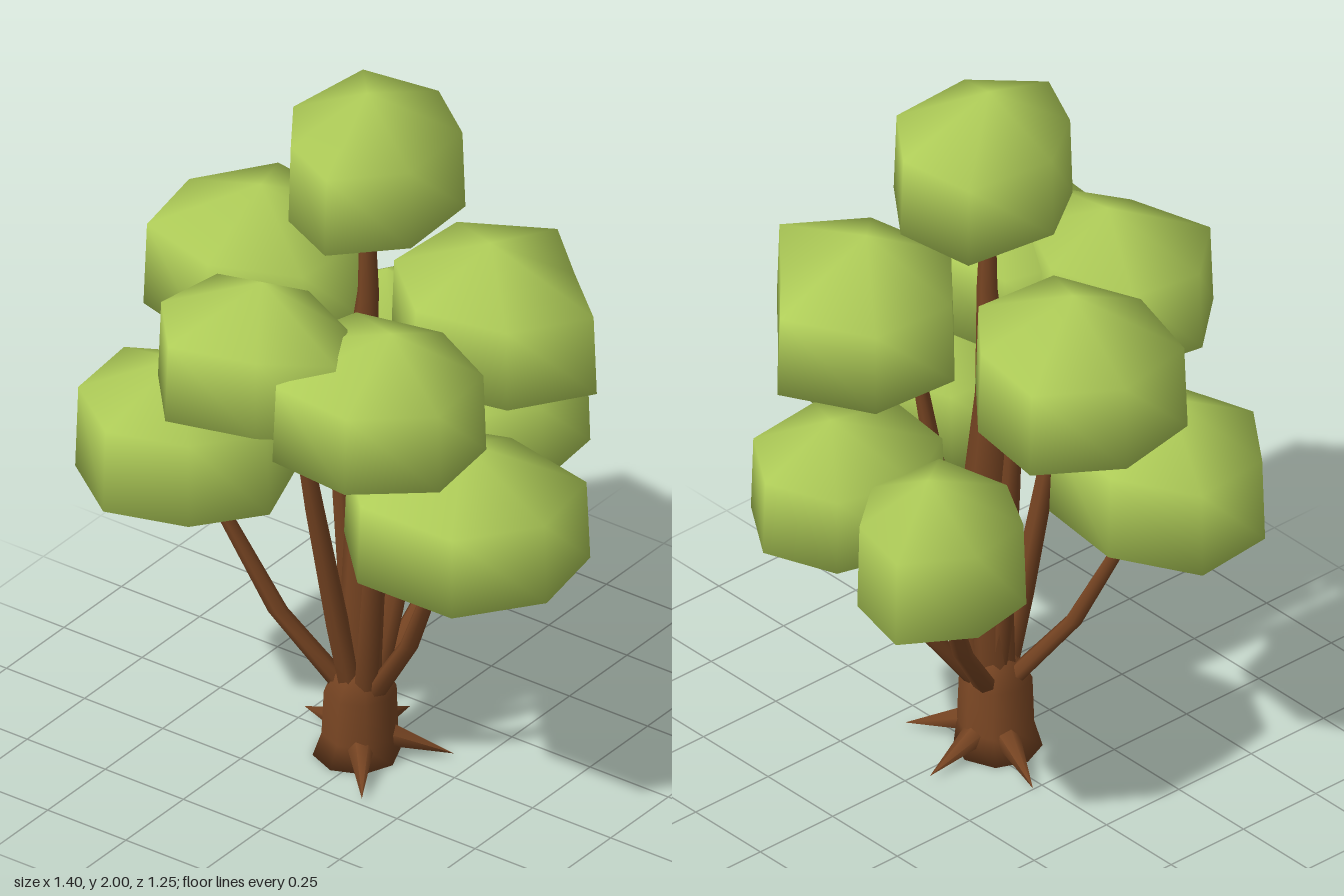
import * as THREE from 'three';

const bark = new THREE.MeshStandardMaterial({ color: 0x764422 });
bark.name = 'bark';
const leaf = new THREE.MeshStandardMaterial({ color: 0xb2d05a });
leaf.name = 'leaf';

// Smooth skin over stacked rings (bottom to top), closed by a pole at each end.
// Ring points run clockwise as seen from above.
function loft(name, bottom, rings, top, material) {
  const n = rings[0].length;
  const points = [bottom, ...rings.flat(), top];
  const last = points.length - 1;
  const index = [];
  for (let i = 0; i < n; i++) {
    const j = (i + 1) % n;
    index.push(0, 1 + i, 1 + j);
    for (let r = 0; r < rings.length - 1; r++) {
      const a = 1 + r * n, b = a + n;
      index.push(a + i, b + i, b + j, a + i, b + j, a + j);
    }
    const t = 1 + (rings.length - 1) * n;
    index.push(t + i, last, t + j);
  }
  const g = new THREE.BufferGeometry();
  g.setAttribute('position', new THREE.Float32BufferAttribute(points.flat(), 3));
  g.setIndex(index);
  g.computeVertexNormals();
  const mesh = new THREE.Mesh(g, material);
  mesh.name = name;
  return mesh;
}

// Corners [x, z] at even angles, one for each radius, starting at the given angle
function polygon(radii, degrees) {
  return radii.map((r, i) => {
    const a = THREE.MathUtils.degToRad(degrees) + (i / radii.length) * Math.PI * 2;
    return [Math.cos(a) * r, Math.sin(a) * r];
  });
}

// Upright limb through [x, y, z, radius] stations
function limb(name, stations, sides) {
  const rings = stations.map(([x, y, z, r]) =>
    polygon(Array(sides).fill(r), 0).map(([u, v]) => [x + u, y, z + v]));
  const s = stations[0], e = stations[stations.length - 1];
  return loft(name, s.slice(0, 3), rings, e.slice(0, 3), bark);
}

// Uneven seven-sided leaf clump whose widest ring touches the given x and z limits
function foliage({ name, x, y, z, pole: [px, pz], turn, radii }) {
  const corners = polygon(radii, turn);
  const fit = (axis, [lo, hi]) => {
    const values = corners.map((c) => c[axis]);
    const min = Math.min(...values), max = Math.max(...values);
    return values.map((v) => THREE.MathUtils.mapLinear(v, min, max, lo, hi));
  };
  const xs = fit(0, x), zs = fit(1, z);
  const ring = (f, s) => xs.map((cx, i) =>
    [px + (cx - px) * s, y[0] + (y[1] - y[0]) * f, pz + (zs[i] - pz) * s]);
  return loft(name + 'Foliage', [px, y[0], pz], [ring(0.2, 1), ring(0.73, 0.97)], [px, y[1], pz], leaf);
}

// Clump limits, pole [x, z], first corner angle, corner radii and reach of its branch
const crown = { name: 'crown', x: [-.23, .22], y: [1.58, 2], z: [-.235, .31], pole: [0, .04],
  turn: 22, radii: [1.07, 1.05, .85, 1, 1.24, 1.05, 1.09] };
const middle = [
  { name: 'middleRight', x: [-.66, -.1], y: [1.12, 1.57], z: [-.28, .25], pole: [-.37, 0],
    turn: 36, radii: [1.1, 1, 1.12, 1.02, 1.07, .88, 1], reach: .45 },
  { name: 'middleFront', x: [-.37, .2], y: [1.13, 1.55], z: [.17, .62], pole: [-.1, .36],
    turn: 12, radii: [1, .8, 1.12, 1.02, 1.1, 1, .88], reach: 1 },
  { name: 'middleFrontLeft', x: [-.06, .5], y: [1.07, 1.49], z: [.05, .56], pole: [.26, .29],
    turn: 20, radii: [1.08, 1.02, 1.05, 1.02, 1.1, 1, 1.07], reach: 1 },
  { name: 'middleBackLeft', x: [-.03, .57], y: [1.1, 1.53], z: [-.49, .07], pole: [.24, -.17],
    turn: 5, radii: [1, .98, 1.05, 1.05, 1.07, 1.02, .62], reach: .9 },
];
const lower = [
  { name: 'lowerLeft', x: [.07, .7], y: [.71, 1.14], z: [-.1, .42], pole: [.39, .15],
    turn: 10, radii: [1.01, 1.09, 1.05, 1, 1.1, 1, 1.15], reach: 1 },
  { name: 'lowerBack', x: [-.13, .34], y: [.72, 1.12], z: [-.62, -.1], pole: [.12, -.4],
    turn: 19, radii: [1.02, 1, 1, 1, 1.02, 1.01, 1.03], reach: 1 },
  { name: 'lowerBackRight', x: [-.5, -.06], y: [.68, 1.14], z: [-.625, -.15], pole: [-.28, -.42],
    turn: 41, radii: [1.2, 1, 1, 1, 1.14, .95, 1], reach: 1 },
  { name: 'lowerFrontRight', x: [-.7, -.13], y: [.71, 1.16], z: [.03, .53], pole: [-.43, .28],
    turn: 104, radii: [1.02, 1.03, 1.14, 1.03, 1.15, 1.02, .9], reach: 1 },
];

// Branch bends: height, share of the way out to the clump, radius
const middleBends = [[.2, .1, .034], [.42, .25, .032], [.8, .48, .026], [1.2, .7, .016]];
const lowerBends = [[.2, .1, .032], [.42, .46, .027], [.72, .77, .02], [.85, .9, .014]];

export function createModel() {
  const tree = new THREE.Group();
  tree.name = 'tree';

  // Stump and main stem
  tree.add(limb('stump', [
    [-.03, 0, .045, .115], [-.02, .07, .045, .1], [-.015, .2, .05, .095], [-.01, .27, .05, .055],
  ], 8));
  tree.add(limb('mainStem', [
    [-.01, .2, .05, .06], [-.01, .5, .04, .06], [0, .8, .03, .06],
    [-.03, 1.1, .03, .048], [0, 1.4, .035, .028], [0, 1.68, .04, .018],
  ], 7));

  // Foliage, with one bent branch to each clump around the stem
  tree.add(foliage(crown));
  for (const [clumps, bends] of [[middle, middleBends], [lower, lowerBends]]) {
    for (const clump of clumps) {
      const dx = (clump.pole[0] + .01) * clump.reach, dz = (clump.pole[1] - .045) * clump.reach;
      const path = bends.map(([y, f, r]) => [-.01 + dx * f, y, .045 + dz * f, r]);
      tree.add(foliage(clump), limb(clump.name + 'Branch', path, 6));
    }
  }

  // Pointed roots
  const up = new THREE.Vector3(0, 1, 0);
  for (const [x, z] of [[.19, -.08], [.13, .24], [-.26, -.04], [-.04, -.2]]) {
    const from = new THREE.Vector3(-.02 + (x + .02) * .25, .065, .045 + (z - .045) * .25);
    const dir = new THREE.Vector3(x, .012, z).sub(from);
    const root = new THREE.Mesh(new THREE.ConeGeometry(.038, dir.length(), 6), bark);
    root.position.copy(from).addScaledVector(dir, .5);
    root.quaternion.setFromUnitVectors(up, dir.clone().normalize());
    root.name = 'root';
    tree.add(root);
  }
  return tree;
}
